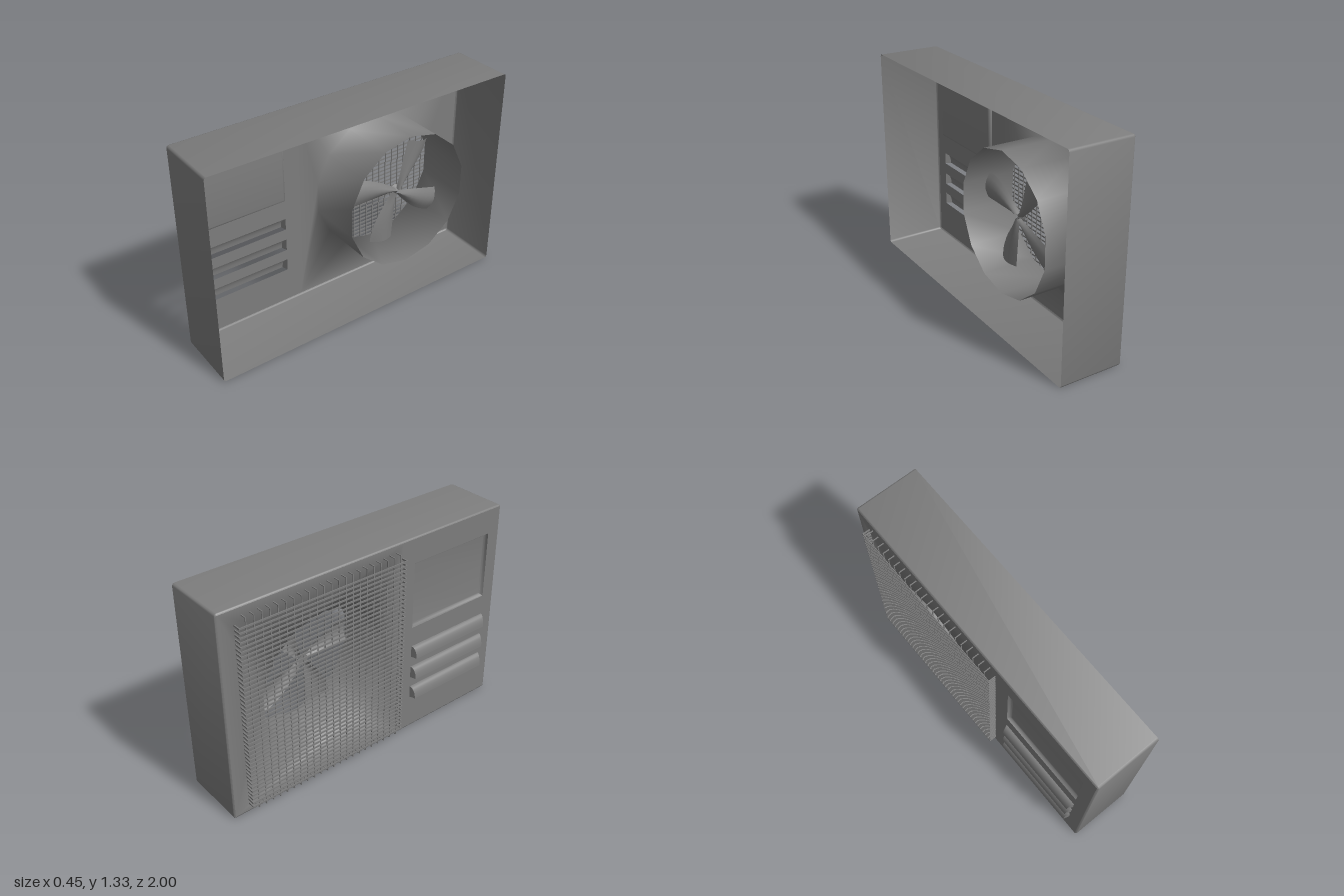
import * as THREE from 'three';
import { mergeGeometries, toCreasedNormals } from 'three/addons/utils/BufferGeometryUtils.js';

const BACK = -0.175, OPEN = 0.225, HEIGHT = 1.33, EDGE = 0.01;
const FAN = { y: 0.665, z: -0.34, ry: 0.435, rz: 0.425, sides: 14 };
const SPLIT = 0.22; // where the fan side of the panel meets the vent side
const VENT = { z0: 0.31, z1: 0.91 };
const HOODS = [[0.53, 0.605], [0.38, 0.457], [0.233, 0.31]];
const HATCH = { y0: 0.735, y1: 1.165 };

const metal = new THREE.MeshStandardMaterial({ color: 0x7d7d7d, side: THREE.DoubleSide });

// Skin a list of equal-length point sections with quads
function loft(sections, closed, crease = 0.7) {
  const n = sections[0].length, index = [];
  for (let i = 0; i < sections.length - 1; i++) {
    for (let j = 0; j < (closed ? n : n - 1); j++) {
      const a = i * n + j, b = i * n + (j + 1) % n;
      index.push(a, b, a + n, b, b + n, a + n);
    }
  }
  const geo = new THREE.BufferGeometry();
  geo.setAttribute('position', new THREE.Float32BufferAttribute(sections.flat(2), 3));
  geo.setIndex(index);
  return toCreasedNormals(geo, crease);
}

// Rectangle across the depth axis with chamfered or rounded corners
function rectSection(x, z0, z1, y0, y1, r) {
  const corners = [[z1 - r, y1 - r], [z0 + r, y1 - r], [z0 + r, y0 + r], [z1 - r, y0 + r]];
  return corners.flatMap(([z, y], k) => [0, 1, 2].map(i => {
    const a = (k + i / 2) * Math.PI / 2;
    return [x, y + r * Math.sin(a), z + r * Math.cos(a)];
  }));
}

// Points of the fan opening as [z, y]
const fanRing = Array.from({ length: FAN.sides }, (_, i) => {
  const a = (i / FAN.sides) * Math.PI * 2 + Math.PI / 2;
  return [FAN.z + FAN.rz * Math.cos(a), FAN.y + FAN.ry * Math.sin(a)];
});

function add(parent, name, geo) {
  const mesh = new THREE.Mesh(geo, metal);
  mesh.name = name;
  parent.add(mesh);
  return mesh;
}

// Casing walls with a small rounded edge running into the panel
function casingWalls() {
  const profile = [[OPEN, 0]];
  for (let i = 0; i <= 3; i++) {
    const a = (i / 3) * Math.PI / 2;
    profile.push([BACK + EDGE - EDGE * Math.sin(a), EDGE - EDGE * Math.cos(a)]);
  }
  return loft(profile.map(([x, d]) =>
    rectSection(x, -1 + d, 1 - d, d, HEIGHT - d, 0.014 - d)), true, 0.9);
}

const path = pts => pts.map(([z, y]) => new THREE.Vector2(z, y));
const rect = (z0, z1, y0, y1) => path([[z0, y0], [z1, y0], [z1, y1], [z0, y1]]);

// Flat sheet facing out of the panel side, with holes
function sheet(z0, z1, holes) {
  const shape = new THREE.Shape(rect(z0, z1, EDGE, HEIGHT - EDGE));
  shape.holes = holes.map(pts => new THREE.Path(pts));
  return new THREE.ShapeGeometry(shape).rotateY(-Math.PI / 2).translate(BACK, 0, 0);
}

function ventPanel() {
  const openings = [[HATCH.y0, HATCH.y1], ...HOODS];
  return sheet(SPLIT, 1 - EDGE, openings.map(([y0, y1]) => rect(VENT.z0, VENT.z1, y0, y1)));
}

// Fan side of the panel and its duct, shaded as one smooth surface
function fanPanelAndDuct() {
  const duct = loft([0.17, BACK].map(x => fanRing.map(([z, y]) => [x, y, z])), true);
  const panel = sheet(-1 + EDGE, SPLIT, [path(fanRing)]).toNonIndexed();
  panel.deleteAttribute('uv');
  // Turn the duct faces toward the axis so they continue the panel's outer face
  const pos = duct.attributes.position, a = new THREE.Vector3(), b = new THREE.Vector3(), c = new THREE.Vector3();
  [a, b, c].forEach((v, i) => v.fromBufferAttribute(pos, i));
  const normal = b.clone().sub(a).cross(c.clone().sub(a));
  if (normal.dot(new THREE.Vector3(a.x, FAN.y, FAN.z).sub(a)) < 0) {
    for (let i = 0; i < pos.count; i += 3) {
      b.fromBufferAttribute(pos, i + 1);
      c.fromBufferAttribute(pos, i + 2);
      pos.setXYZ(i + 1, c.x, c.y, c.z);
      pos.setXYZ(i + 2, b.x, b.y, b.z);
    }
  }
  return toCreasedNormals(mergeGeometries([panel, duct]), 2);
}

// Shallow recessed hatch with a softened step
function hatch() {
  const { y0, y1 } = HATCH, mid = (y0 + y1) / 2;
  const steps = [[0, 0], [0.01, 0.003], [0.019, 0.009], [0.022, 0.02]];
  const sections = steps.map(([dx, d]) =>
    rectSection(BACK + dx, VENT.z0 + d, VENT.z1 - d, y0 + d, y1 - d, 0.001));
  sections.push(rectSection(BACK + 0.022, VENT.z0 + 0.02, VENT.z1 - 0.02, mid, mid, 0));
  return loft(sections, true, 0.8);
}

// Louvre hood, open underneath
function hood([y0, y1]) {
  const sections = [];
  for (let i = 0; i <= 6; i++) {
    const a = (i / 6) * Math.PI / 2;
    const x = BACK - 0.038 * Math.sin(a), inset = 0.012 * Math.sin(a);
    const y = y1 + (y0 - y1) * (1 - Math.cos(a));
    sections.push([
      [BACK, y, VENT.z0], [x, y, VENT.z0 + inset],
      [x, y, VENT.z1 - inset], [BACK, y, VENT.z1],
    ]);
  }
  return loft(sections, false);
}

// Blade: one straight edge, one curved edge, cambered toward the open side
function blade() {
  const rows = 8, cols = 6, sections = [];
  for (let i = 0; i <= rows; i++) {
    const t = i / rows, r = 0.01 + 0.317 * t;
    const chord = 0.02 + 0.138 * Math.sin(t * Math.PI / 2);
    sections.push(Array.from({ length: cols + 1 }, (_, j) => {
      const s = j / cols;
      return [0.028 * Math.sin(s * Math.PI) - 0.01 * s, chord * s, r];
    }));
  }
  return loft(sections, false, 1);
}

function fan() {
  const group = new THREE.Group();
  group.name = 'fan';
  group.position.set(0.05, 0.68, FAN.z);
  const bladeGeo = blade();
  for (const deg of [0, 85, 164, 256]) {
    add(group, 'fanBlade', bladeGeo).rotation.x = THREE.MathUtils.degToRad(deg);
  }
  add(group, 'fanHub', new THREE.CylinderGeometry(0.035, 0, 0.03, 8).rotateZ(Math.PI / 2));
  return group;
}

// Wire guard: each wire is a staple with its ends turned back to the panel
function guard() {
  const group = new THREE.Group();
  group.name = 'fanGuard';
  const bar = (w, h, d, x, y, z) => new THREE.BoxGeometry(w, h, d).translate(x, y, z);
  const z0 = -0.9, z1 = 0.21, y0 = 0.035, y1 = 1.28, zc = (z0 + z1) / 2, yc = (y0 + y1) / 2;
  const inner = BACK - 0.001;

  const across = [], th = 0.01, xh = -0.22, nh = 43;
  for (let i = 0; i < nh; i++) {
    const y = 0.065 + 1.165 * i / (nh - 1);
    across.push(bar(0.005, th, z1 - z0, xh, y, zc));
    for (const z of [z0 + 0.003, z1 - 0.003])
      across.push(bar(inner - xh, th, 0.006, (inner + xh) / 2, y, z));
  }
  add(group, 'horizontalWires', mergeGeometries(across));

  const upright = [], tv = 0.005, xv = -0.215, nv = 22;
  for (let i = 0; i < nv; i++) {
    const z = z0 + 0.045 + (z1 - z0 - 0.09) * i / (nv - 1);
    upright.push(bar(tv, y1 - y0, tv, xv, yc, z));
    for (const y of [y0 + 0.003, y1 - 0.003])
      upright.push(bar(inner - xv, tv, tv, (inner + xv) / 2, y, z));
  }
  add(group, 'verticalWires', mergeGeometries(upright));
  return group;
}

export function createModel() {
  const model = new THREE.Group();
  model.name = 'outdoorFanUnit';

  add(model, 'casingWalls', casingWalls());
  add(model, 'ventPanel', ventPanel());
  add(model, 'fanPanelAndDuct', fanPanelAndDuct());
  add(model, 'recessedHatch', hatch());
  for (const span of HOODS) add(model, 'ventHood', hood(span));

  model.add(fan(), guard());
  return model;
}
